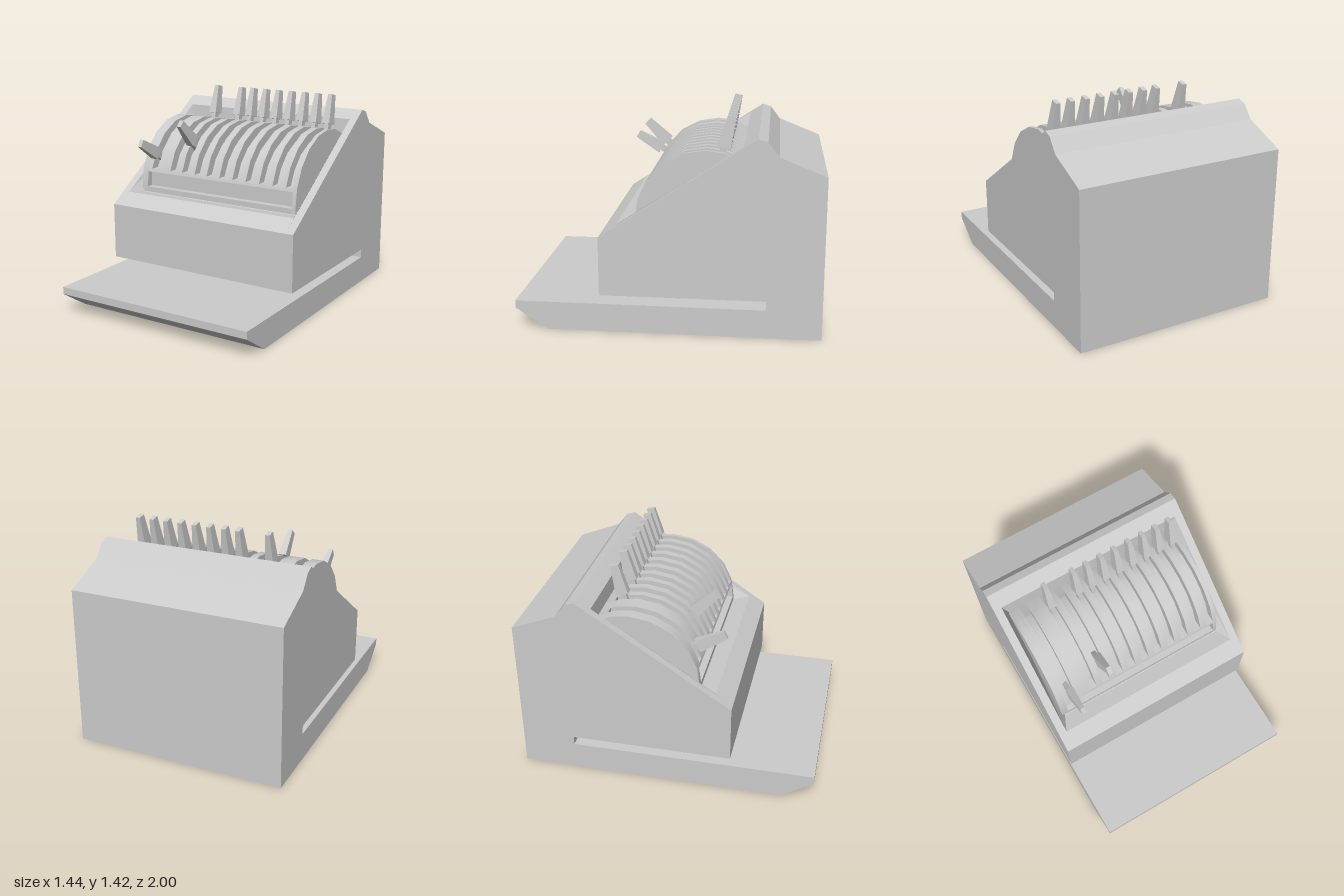
import * as THREE from 'three';
import { toCreasedNormals } from 'three/addons/utils/BufferGeometryUtils.js';

const material = new THREE.MeshStandardMaterial({ color: 0xcccccc });
const thin = new THREE.MeshStandardMaterial({ color: 0xcccccc, side: THREE.DoubleSide });

// Drum axis and radii
const CZ = -0.24, CY = 0.745, R = 0.455, R_IN = 0.39;

// Extrude a [z, y] profile along x from x0 to x1
function slice(name, profile, x0, x1) {
  const shape = new THREE.Shape(profile.map(([z, y]) => new THREE.Vector2(-z, y)));
  const geo = new THREE.ExtrudeGeometry(shape, { depth: x1 - x0, bevelEnabled: false });
  geo.rotateY(Math.PI / 2).translate(x0, 0, 0);
  const mesh = new THREE.Mesh(toCreasedNormals(geo, 0.5), material);
  mesh.name = name;
  return mesh;
}

// Points on a circle round the drum axis, angles in degrees up from the front
function onDrum(r, ...angles) {
  return angles.map((deg) => {
    const a = THREE.MathUtils.degToRad(deg);
    return [CZ + r * Math.cos(a), CY + r * Math.sin(a)];
  });
}

// Drum section; it may carry the long front window and a lever groove
function drumProfile(windowed, grooved) {
  const p = [[-0.47, 0.72], [-0.4, 0.6], [0.215, 0.6], [0.215, 0.74]];
  if (windowed) p.push([0.165, 0.74], [0.165, 0.85], [0.203, 0.85]);
  if (grooved) {
    p.push(...onDrum(R, 16), ...onDrum(R_IN, 18.8, 35, 53, 72, 90, 102, 114), ...onDrum(R, 110.5, 120));
  } else {
    p.push(...onDrum(R, 16, 34, 53, 72, 90, 105, 120));
  }
  return p;
}

// Box standing on y0, narrowing from (w0, d0) to (w1, d1)
function taperedBox(name, y0, y1, w0, d0, w1, d1) {
  const geo = new THREE.BoxGeometry(1, y1 - y0, 1).translate(0, (y0 + y1) / 2, 0);
  const pos = geo.attributes.position;
  for (let i = 0; i < pos.count; i++) {
    const top = pos.getY(i) > (y0 + y1) / 2;
    pos.setX(i, pos.getX(i) * (top ? w1 : w0));
    pos.setZ(i, pos.getZ(i) * (top ? d1 : d0));
  }
  geo.computeVertexNormals();
  const mesh = new THREE.Mesh(geo, material);
  mesh.name = name;
  return mesh;
}

// Lever turned round the drum axis
function lever(x, angle) {
  const g = new THREE.Group();
  g.name = 'lever';
  g.add(taperedBox('leverStem', 0.37, 0.49, 0.03, 0.045, 0.03, 0.045));
  g.add(taperedBox('leverHandle', 0.485, 0.69, 0.056, 0.085, 0.03, 0.055));
  g.position.set(x, CY, CZ);
  g.rotation.x = THREE.MathUtils.degToRad(90 - angle);
  return g;
}

export function createModel() {
  const model = new THREE.Group();
  model.name = 'addingMachine';

  // Housing: side slices are whole, the middle one has the recess cut in
  const lower = [[-1, 0], [0.79, 0], [1, 0.14], [1, 0.19], [-0.64, 0.19], [-0.64, 0.25], [0.44, 0.25], [0.44, 0.64]];
  const upper = [[-0.57, 1.3], [-0.63, 1.28], [-0.7, 1.19], [-1, 1.07]];
  const recess = [[0.33, 0.715], [0.22, 0.7], [-0.47, 1.1], [-0.48, 1.241]];
  const housing = new THREE.Group();
  housing.name = 'housing';
  housing.add(
    slice('housingSide', [...lower, ...upper], -0.72, -0.665),
    slice('housingMiddle', [...lower, ...recess, ...upper], -0.665, 0.665),
    slice('housingSide', [...lower, ...upper], 0.665, 0.72)
  );

  // Sloping cheeks at both ends of the recess
  for (const s of [-1, 1]) {
    const geo = new THREE.BufferGeometry();
    const corners = recess.flatMap(([z, y], i) => [s * (i % 3 ? 0.617 : 0.665), y, z]);
    geo.setAttribute('position', new THREE.Float32BufferAttribute(corners, 3));
    geo.setIndex(s > 0 ? [0, 2, 1, 0, 3, 2] : [0, 1, 2, 0, 2, 3]);
    const flat = geo.toNonIndexed();
    flat.computeVertexNormals();
    const cheek = new THREE.Mesh(flat, thin);
    cheek.name = 'recessCheek';
    housing.add(cheek);
  }
  model.add(housing);

  // Drum: ribs between the grooves, with plain ends beside the window
  const drum = new THREE.Group();
  drum.name = 'drum';
  const columns = [-0.53, -0.372, -0.27, -0.165, -0.065, 0.04, 0.145, 0.25, 0.355, 0.458, 0.56];
  const half = 0.027;
  drum.add(slice('drumEnd', drumProfile(false, false), -0.635, -0.588));
  let x = -0.588;
  for (const c of columns) {
    drum.add(slice('drumRib', drumProfile(true, false), x, c - half));
    drum.add(slice('drumGroove', drumProfile(true, true), c - half, c + half));
    x = c + half;
  }
  drum.add(slice('drumEnd', drumProfile(false, false), x, 0.615));
  model.add(drum);

  // Levers: two pulled forward, the rest at the back
  const pulled = { 0: 29.5, 2: 44.7 };
  columns.forEach((c, i) => model.add(lever(c, pulled[i] ?? 103.5)));

  return model;
}
